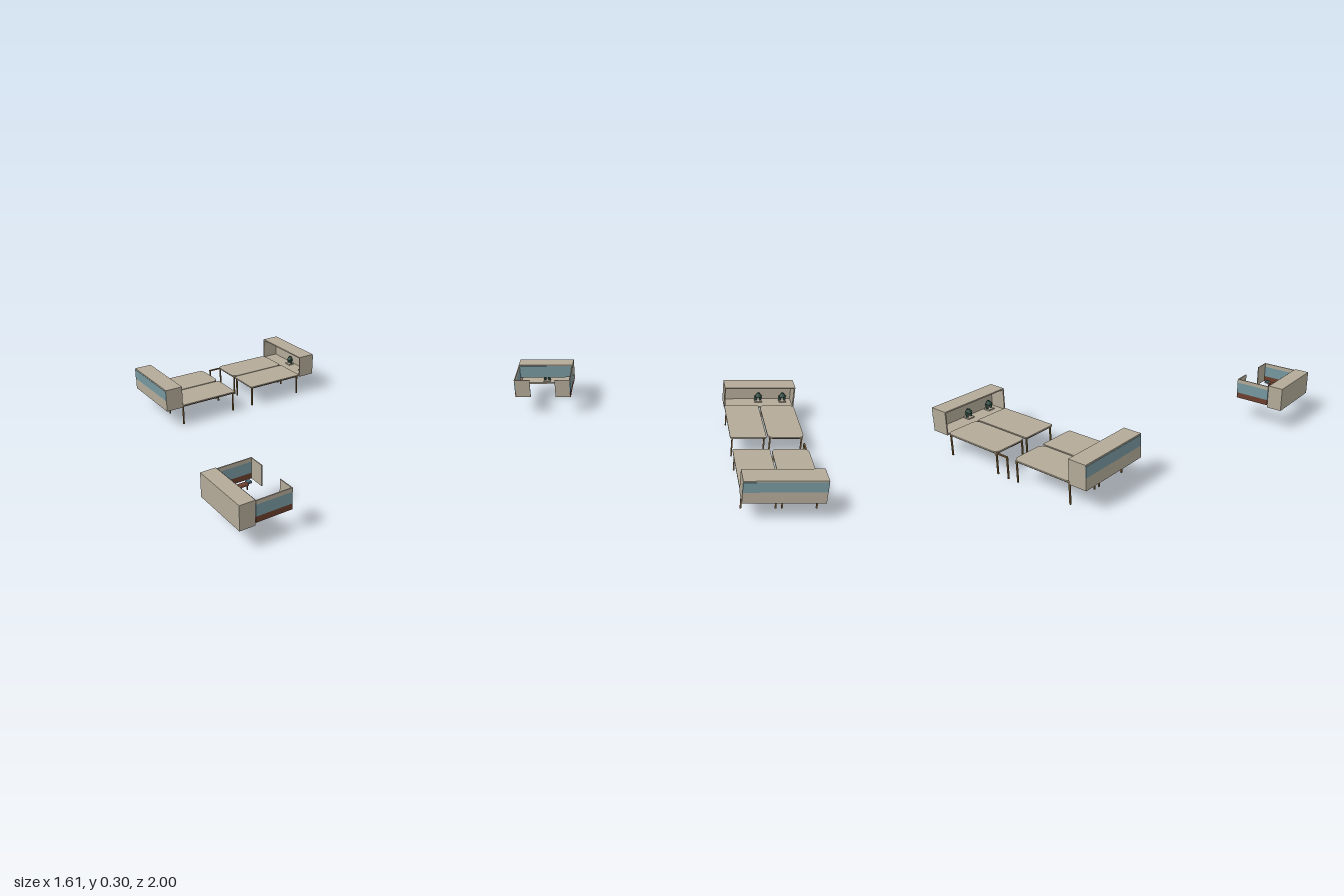
import * as THREE from 'three';
import { RoundedBoxGeometry } from 'three/addons/geometries/RoundedBoxGeometry.js';

const mat = (name, color) => {
  const m = new THREE.MeshStandardMaterial({ color });
  m.name = name;
  return m;
};

export function createModel() {
  const beige = mat('beige laminate', 0xb3aa98);
  const blue = mat('blue felt', 0x76979f);
  const rust = mat('rust brown', 0x6b3e2b);
  const wood = mat('wood frame', 0x86683f);
  const green = mat('dark green', 0x2f4d42);
  const slate = mat('slate blue', 0x4c6d7a);

  const root = new THREE.Group();
  root.name = 'officeFurniture';
  const group = (name, parent = root) => {
    const g = new THREE.Group();
    g.name = name;
    parent.add(g);
    return g;
  };
  // Box given by its minimum and maximum on each axis
  const box = (parent, name, m, [x0, x1], [y0, y1], [z0, z1]) => {
    const mesh = new THREE.Mesh(new THREE.BoxGeometry(x1 - x0, y1 - y0, z1 - z0), m);
    mesh.position.set((x0 + x1) / 2, (y0 + y1) / 2, (z0 + z1) / 2);
    mesh.name = name;
    parent.add(mesh);
    return mesh;
  };

  // Desk top with rounded corners, lying flat
  const deskTop = (parent, w, d, r, x, z) => {
    const s = new THREE.Shape();
    const a = w / 2, b = d / 2;
    s.moveTo(-a + r, -b);
    s.lineTo(a - r, -b);
    s.quadraticCurveTo(a, -b, a, -b + r);
    s.lineTo(a, b - r);
    s.quadraticCurveTo(a, b, a - r, b);
    s.lineTo(-a + r, b);
    s.quadraticCurveTo(-a, b, -a, b - r);
    s.lineTo(-a, -b + r);
    s.quadraticCurveTo(-a, -b, -a + r, -b);
    const g = new THREE.ExtrudeGeometry(s, { depth: 0.009, bevelEnabled: false, curveSegments: 5 });
    g.rotateX(-Math.PI / 2);
    const mesh = new THREE.Mesh(g, beige);
    mesh.position.set(x, 0.145, z);
    mesh.name = 'deskTop';
    parent.add(mesh);
  };

  const desk = (x0, x1, z0, z1, r) => {
    const g = group('desk');
    deskTop(g, x1 - x0, z1 - z0, r, (x0 + x1) / 2, (z0 + z1) / 2);
    const i = 0.01, t = 0.009;
    const xs = [x0 + i, x1 - i - t], zs = [z0 + i, z1 - i - t];
    for (const x of xs) {
      box(g, 'sideRail', wood, [x, x + t], [0.136, 0.145], [zs[0] + t, zs[1]]);
      for (const z of zs) box(g, 'leg', wood, [x, x + t], [0, 0.147], [z, z + t]);
    }
    for (const z of zs) box(g, 'longRail', wood, [xs[0] + t, xs[1]], [0.136, 0.145], [z, z + t]);
  };

  // Small potted plant on a square tray
  const plant = (parent, x, y, z) => {
    const g = group('plant', parent);
    g.position.set(x, y, z);
    box(g, 'tray', beige, [-0.025, 0.025], [0, 0.008], [-0.025, 0.025]);
    for (const s of [-1, 1]) {
      const stem = new THREE.Mesh(new THREE.CylinderGeometry(0.011, 0.008, 0.035, 8), green);
      stem.position.set(0, 0.0255, s * 0.015);
      stem.name = 'stem';
      g.add(stem);
    }
    const crown = new THREE.Mesh(new THREE.CylinderGeometry(0.01, 0.024, 0.024, 8), green);
    crown.position.y = 0.05;
    crown.name = 'crown';
    g.add(crown);
  };

  // Two mirrored pairs of desks
  for (const [x0, x1] of [[-0.336, 0.103], [0.242, 0.681]]) {
    desk(x0, x1, -0.997, -0.758, 0.045);
    desk(x0, x1, -0.748, -0.507, 0.015);
  }

  // Side arm with its own leg between the pairs
  const arm = group('sideArm');
  box(arm, 'armBar', wood, [0.16, 0.255], [0.138, 0.147], [-0.99, -0.981]);
  box(arm, 'armLeg', wood, [0.16, 0.169], [0, 0.138], [-0.99, -0.981]);

  // Open storage units at both ends; the second is the first turned around
  for (const turn of [0, Math.PI]) {
    const g = group('storageUnit');
    g.position.set(turn ? 0.743 : -0.393, 0, -0.752);
    g.rotation.y = turn;
    const X = [-0.062, 0.062], Z = [-0.247, 0.247], t = 0.008;
    box(g, 'unitTop', beige, X, [0.287, 0.296], Z);
    box(g, 'unitFloor', beige, X, [0.138, 0.147], Z);
    box(g, 'unitBack', beige, [X[0], X[0] + t], [0.147, 0.287], Z);
    for (const z of [Z[0], Z[1] - t]) box(g, 'unitEnd', beige, [X[0] + t, X[1]], [0.147, 0.287], [z, z + t]);
    box(g, 'feltStripe', blue, [X[0] - 0.002, X[0]], [0.217, 0.287], Z);
    plant(g, -0.022, 0.147, -0.005);
    plant(g, -0.02, 0.147, -0.178);
  }

  // Booth storage unit, open low down on the inside
  const booth = group('booth');
  const unit = group('boothUnit', booth);
  const BX = [-0.805, -0.706], BZ = [0.597, 0.999];
  box(unit, 'unitTop', beige, BX, [0.287, 0.296], BZ);
  box(unit, 'unitFloor', beige, BX, [0.14, 0.149], BZ);
  box(unit, 'unitBack', beige, [-0.805, -0.798], [0.149, 0.287], BZ);
  for (const z of [0.597, 0.992]) box(unit, 'unitEnd', beige, [-0.798, -0.706], [0.149, 0.287], [z, z + 0.007]);
  box(unit, 'feltFront', blue, [-0.705, -0.699], [0.198, 0.29], [0.604, 0.992]);
  plant(unit, -0.74, 0.149, 0.8);

  // Banded booth walls, returns and stools, mirrored about z = 0.798
  for (const s of [-1, 1]) {
    const span = (a, b) => [0.798 + s * a, 0.798 + s * b].sort((p, q) => p - q);
    const wall = group('boothWall', booth);
    const bands = [['lowerBand', rust, 0.155, 0.192], ['feltBand', blue, 0.192, 0.265], ['upperBand', beige, 0.265, 0.29]];
    for (const [name, m, y0, y1] of bands) box(wall, name, m, [-0.702, -0.47], [y0, y1], span(0.194, 0.201));
    box(wall, 'returnPanel', beige, [-0.476, -0.47], [0.155, 0.29], span(0.09, 0.194));

    const stool = group('stool', booth);
    const seat = new THREE.Mesh(new RoundedBoxGeometry(0.062, 0.012, 0.038, 2, 0.005), rust);
    seat.position.set(-0.573, 0.174, 0.798 + s * 0.131);
    seat.name = 'seat';
    stool.add(seat);
    for (const x of [-0.595, -0.555]) box(stool, 'foot', rust, [x, x + 0.006], [0.143, 0.17], span(0.116, 0.122));
    box(stool, 'sidePad', slate, [-0.541, -0.51], [0.164, 0.176], span(0.134, 0.162));
  }
  return root;
}
